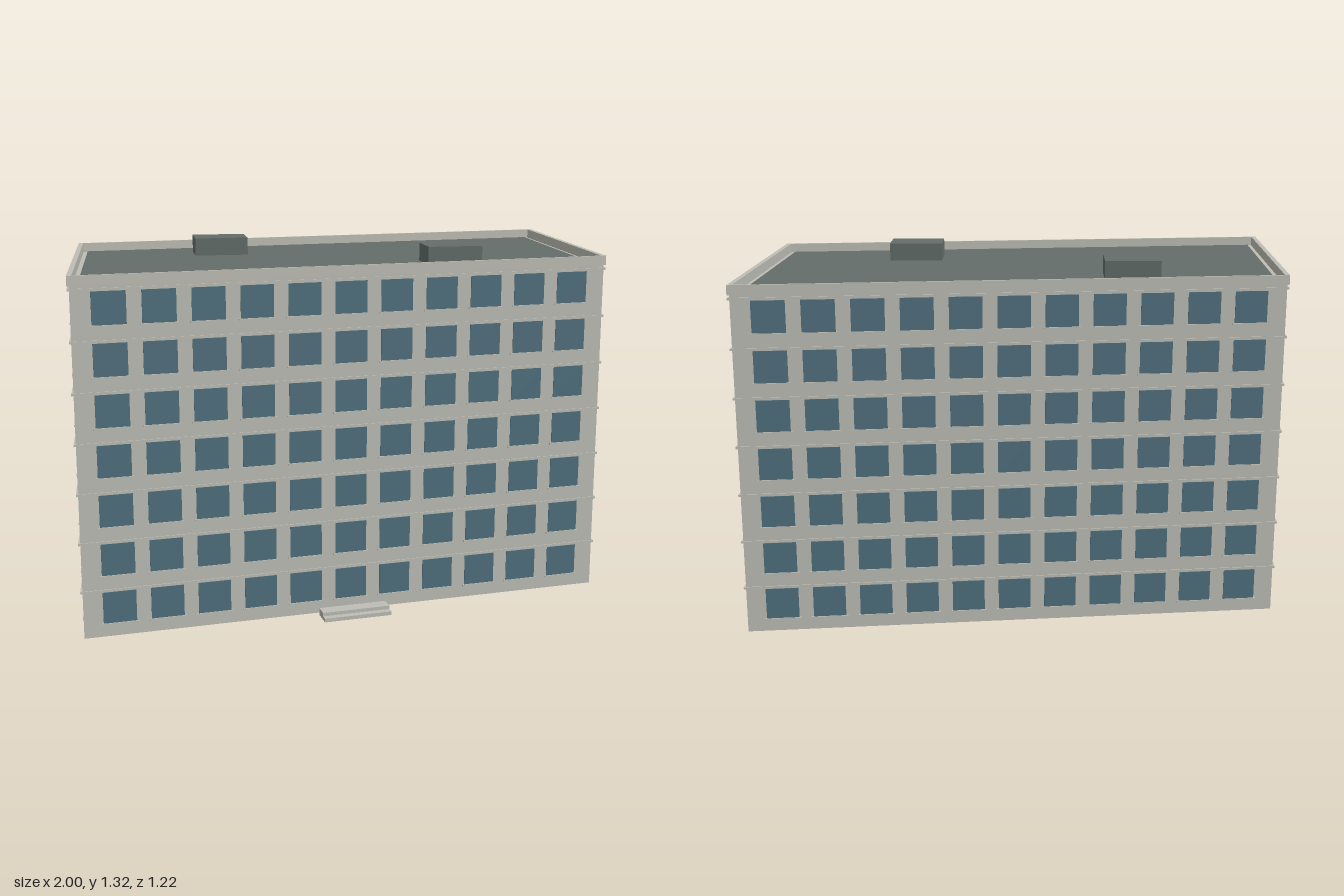
import * as THREE from 'three';
import { mergeGeometries } from 'three/addons/utils/BufferGeometryUtils.js';

// Slightly skewed footprint, corners ordered front left, front right, back right, back left (seen from the front)
const CORNERS = [[-1, 0.61], [0.965, 0.385], [1, -0.61], [-0.965, -0.385]];
const WALL_SCALE = 0.9925;
const FLOORS = 7, FLOOR_H = 0.1775;

function outline(scale, Type = THREE.Shape) {
  return new Type(CORNERS.map(([x, z]) => new THREE.Vector2(x * scale, -z * scale)));
}

// Upright prism over the scaled footprint, optionally hollow
function prism(scale, y0, y1, innerScale) {
  const shape = outline(scale);
  if (innerScale) shape.holes.push(outline(innerScale, THREE.Path));
  const g = new THREE.ExtrudeGeometry(shape, { depth: y1 - y0, bevelEnabled: false });
  return g.rotateX(-Math.PI / 2).translate(0, y0, 0);
}

function box(w, h, d, x, y, z) {
  return new THREE.BoxGeometry(w, h, d).translate(x, y, z);
}

export function createModel() {
  const group = new THREE.Group();
  const mat = (name, color) => {
    const m = new THREE.MeshStandardMaterial({ color });
    m.name = name;
    return m;
  };
  const wall = mat('pale concrete', 0xbdbdb5);
  const glass = mat('blue glass', 0x4f6f7d);
  const roofing = mat('grey roofing', 0x636d69);

  const add = (name, geometry, material, parent = group) => {
    const mesh = new THREE.Mesh(geometry, material);
    mesh.name = name;
    parent.add(mesh);
    return mesh;
  };

  // Main body
  add('body', prism(WALL_SCALE, 0, 1.25), wall);

  // Thin band above every floor
  for (let i = 1; i <= FLOORS; i++) {
    const y = i * FLOOR_H - 0.006;
    add('floorBand', prism(1, y - 0.004, y + 0.004, 0.98), wall);
  }

  // Parapet and roof surface
  add('parapet', prism(1, 1.25, 1.285, 0.982), wall);
  add('roof', prism(0.965, 1.248, 1.253), roofing);

  // Windows and sills on the four walls
  const names = ['front', 'right', 'back', 'left'];
  CORNERS.forEach((p, i) => {
    const q = CORNERS[(i + 1) % 4];
    const dx = (q[0] - p[0]) * WALL_SCALE, dz = (q[1] - p[1]) * WALL_SCALE;
    const length = Math.hypot(dx, dz);
    const long = i % 2 === 0;
    const columns = long ? 11 : 5;
    const step = length * (long ? 0.0869 : 0.183);
    const width = 0.118;
    const panes = [], sills = [];
    for (let f = 0; f < FLOORS; f++) {
      for (let c = 0; c < columns; c++) {
        const x = (c - (columns - 1) / 2) * step;
        const y = 0.107 + f * FLOOR_H;
        panes.push(box(width, 0.115, 0.005, x, y, 0));
        sills.push(box(width + 0.014, 0.006, 0.012, x, y - 0.0605, 0));
      }
    }
    const side = new THREE.Group();
    side.name = names[i] + 'Wall';
    side.position.set((p[0] + q[0]) / 2 * WALL_SCALE, 0, (p[1] + q[1]) / 2 * WALL_SCALE);
    side.rotation.y = Math.atan2(-dz, dx);
    add('windows', mergeGeometries(panes), glass, side);
    add('windowSills', mergeGeometries(sills), wall, side);
    group.add(side);
  });

  // Two roof housings
  for (const s of [-1, 1]) {
    add('roofHousing', box(0.205, 0.07, 0.145, s * 0.413, 1.285, s * 0.22), roofing);
  }

  // Entrance steps, parallel to the front wall
  const steps = new THREE.Group();
  steps.name = 'entranceSteps';
  steps.position.set(-0.01, 0, 0.554);
  steps.rotation.y = Math.atan2(0.225, 1.965);
  add('lowerStep', box(0.255, 0.014, 0.075, 0, 0.007, 0), wall, steps);
  add('upperStep', box(0.255, 0.013, 0.05, 0, 0.0205, -0.0125), wall, steps);
  group.add(steps);

  return group;
}
